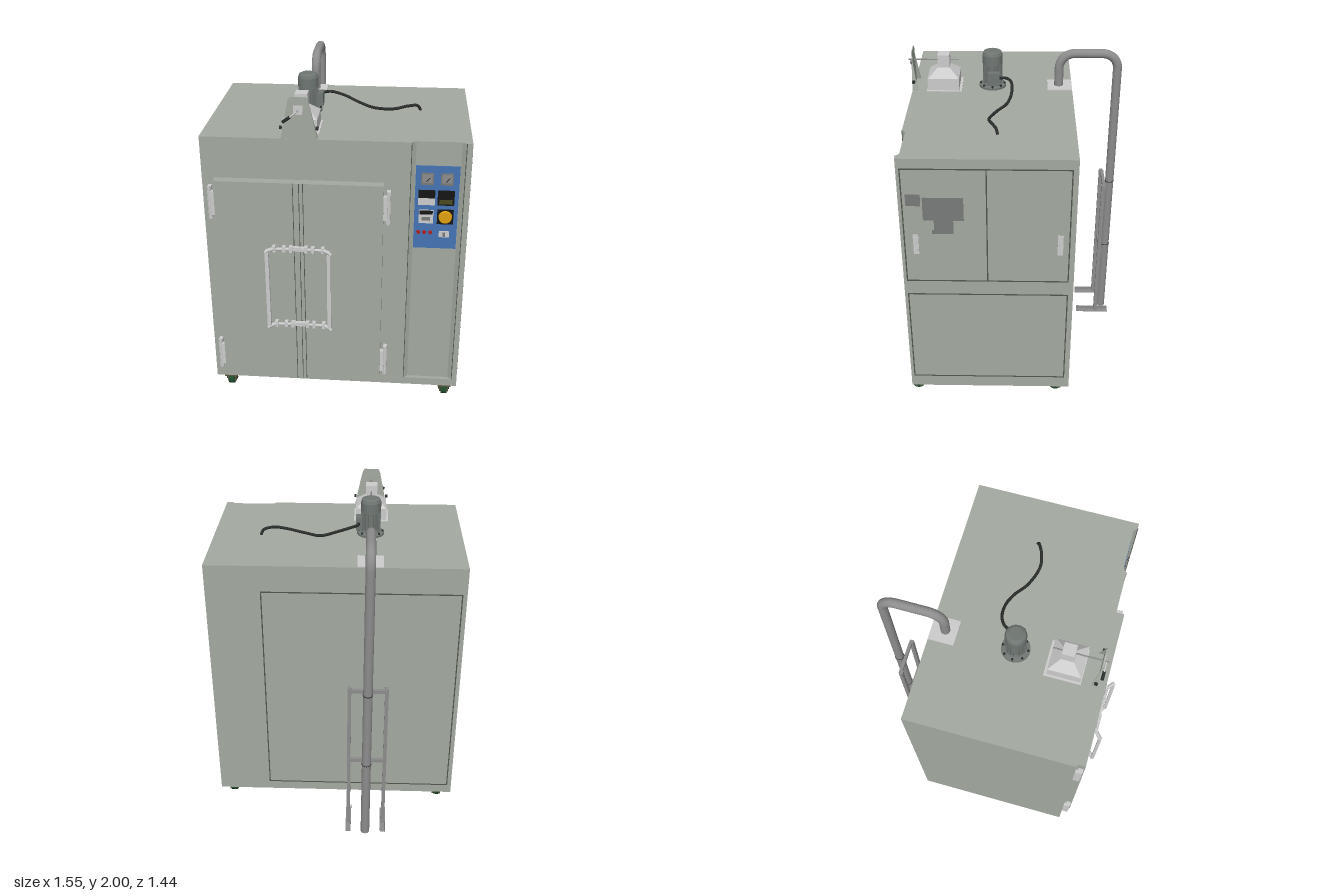
import * as THREE from 'three';

const mat = (color, extra = {}) => new THREE.MeshStandardMaterial({ color, side: THREE.DoubleSide, ...extra });
const M = {
  body: mat(0xa3aaa0), grey: mat(0xcccccc), pipe: mat(0x8c8c8c), seam: mat(0x50544e), mid: mat(0x777a78),
  motor: mat(0x6f7672), dark: mat(0x2b2d2c), blue: mat(0x4474b4), black: mat(0x151515), red: mat(0xb02020),
  yellow: mat(0xe0a010), olive: mat(0x4a4a20), caster: mat(0x5a5a40), green: mat(0x1f4a2c),
};

export function createModel() {
  const root = new THREE.Group();

  const add = (name, geo, m, parent = root) => {
    const mesh = new THREE.Mesh(geo, m);
    mesh.name = name;
    parent.add(mesh);
    return mesh;
  };
  // Box given by its limits on each axis
  const box = (name, x0, x1, y0, y1, z0, z1, m = M.grey, parent = root) => {
    const b = add(name, new THREE.BoxGeometry(x1 - x0, y1 - y0, z1 - z0), m, parent);
    b.position.set((x0 + x1) / 2, (y0 + y1) / 2, (z0 + z1) / 2);
    return b;
  };
  const cyl = (name, r0, r1, h, x, y, z, m, axis = 'y', seg = 24, parent = root) => {
    const c = add(name, new THREE.CylinderGeometry(r1, r0, h, seg), m, parent);
    c.position.set(x, y, z);
    if (axis === 'x') c.rotation.z = Math.PI / 2;
    if (axis === 'z') c.rotation.x = Math.PI / 2;
    return c;
  };
  const rod = (name, a, b, r, m, seg = 10, parent = root) => {
    const p = new THREE.Vector3(...a), q = new THREE.Vector3(...b);
    return add(name, new THREE.TubeGeometry(new THREE.LineCurve3(p, q), 1, r, seg), m, parent);
  };
  // Thin dark outline on a face: u runs along x or z, at is the face position
  const outline = (name, axis, at, u0, u1, v0, v1, t = 0.007) => {
    const g = new THREE.Group();
    g.name = name;
    root.add(g);
    [[u0, u1, v0, v0 + t], [u0, u1, v1 - t, v1], [u0, u0 + t, v0, v1], [u1 - t, u1, v0, v1]].forEach(([a, b, c, d]) => {
      if (axis === 'x') box('seam', at - 0.002, at + 0.002, c, d, a, b, M.seam, g);
      else box('seam', a, b, c, d, at - 0.002, at + 0.002, M.seam, g);
    });
  };

  // Cabinet with a shallow sloped channel for the controls
  const plan = new THREE.Shape([[-0.775, 0.4], [-0.775, -0.6], [0.43, -0.6], [0.455, -0.578], [0.71, -0.578],
    [0.735, -0.6], [0.768, -0.6], [0.768, 0.4]].map(p => new THREE.Vector2(...p)));
  const cabinet = add('cabinet', new THREE.ExtrudeGeometry(plan, { depth: 1.605, bevelEnabled: false }), M.body);
  cabinet.rotation.x = -Math.PI / 2;
  cabinet.position.y = 0.15;
  box('cabinetBase', -0.775, 0.768, 0.1, 0.15, -0.4, 0.6, M.body);
  box('channelEdgeLeft', 0.428, 0.432, 0.15, 1.755, 0.598, 0.602, M.seam);
  box('channelEdgeRight', 0.733, 0.737, 0.15, 1.755, 0.598, 0.603, M.seam);

  // Double door
  box('door', -0.7, 0.28, 0.15, 1.505, 0.6, 0.655, M.body);
  [-0.24, -0.205, -0.182].forEach(x => box('doorSeam', x - 0.002, x + 0.002, 0.15, 1.505, 0.65, 0.656, M.seam));

  // Hinges on both sides of the door
  [[-0.7, -1], [0.28, 1]].forEach(([edge, s]) => [0.2, 1.26].forEach(y => {
    const g = new THREE.Group();
    g.name = 'hinge';
    g.position.set(edge, y, 0);
    root.add(g);
    const span = (a, b, ...r) => box('hingePart', Math.min(s * a, s * b), Math.max(s * a, s * b), ...r, M.grey, g);
    span(0.018, 0.04, 0, 0.2, 0.6, 0.64);
    span(0, 0.04, 0.03, 0.17, 0.618, 0.64);
    span(0, 0.022, 0.025, 0.175, 0.62, 0.648);
    cyl('hingePin', 0.009, 0.009, 0.21, s * 0.03, 0.1, 0.636, M.grey, 'y', 12, g);
  }));

  // Door handles with their latch linkages
  const cx = -0.213;
  [-1, 1].forEach(s => {
    const g = new THREE.Group();
    g.name = 'doorHandle';
    root.add(g);
    box('handleBar', cx + s * 0.183 - 0.011, cx + s * 0.183 + 0.011, 0.575, 1.08, 0.7, 0.72, M.grey, g);
    [0.567, 1.09].forEach(y => {
      rod('latchElbow', [cx + s * 0.192, y, 0.712], [cx + s * 0.15, y, 0.676], 0.012, M.grey, 10, g);
      rod('latchArm', [cx + s * 0.155, y, 0.677], [cx + s * 0.03, y, 0.672], 0.009, M.grey, 10, g);
      [0.045, 0.085, 0.145].forEach(d =>
        box('latchBracket', cx + s * d - 0.01, cx + s * d + 0.01, y - 0.018, y + 0.018, 0.655, 0.685, M.grey, g));
    });
  });
  [0.567, 1.09].forEach(y => box('latchCentre', cx - 0.035, cx + 0.035, y - 0.012, y + 0.012, 0.655, 0.678));

  // Side access panels, pulls and warning plates
  const sx = 0.768;
  outline('upperSidePanel', 'x', sx, -0.37, 0.582, 0.935, 1.695);
  outline('lowerSidePanel', 'x', sx, -0.37, 0.582, 0.18, 0.842);
  box('panelSplit', sx - 0.002, sx + 0.002, 0.935, 1.695, 0.102, 0.109, M.seam);
  [0.513, -0.314].forEach(z => {
    box('sidePull', sx, sx + 0.005, 1.13, 1.265, z - 0.016, z + 0.016);
    box('sidePullGrip', sx, sx + 0.008, 1.145, 1.25, z - 0.005, z + 0.005);
  });
  [[0.475, 0.558, 1.455, 1.53], [0.235, 0.465, 1.36, 1.51], [0.295, 0.405, 1.298, 1.36], [0.295, 0.418, 1.27, 1.297]]
    .forEach(([a, b, c, d]) => box('sidePlate', sx, sx + 0.002, c, d, a, b, M.mid));

  // Rear access panel
  outline('rearPanel', 'z', -0.4, -0.75, 0.44, 0.16, 1.59);

  // Control panel
  const panel = new THREE.Group();
  panel.name = 'controlPanel';
  root.add(panel);
  const ctl = (name, x0, x1, y0, y1, z, m) => box(name, x0, x1, y0, y1, 0.578, z, m, panel);
  ctl('panelFace', 0.457, 0.708, 1.085, 1.61, 0.582, M.blue);
  [0.525, 0.637].forEach(x => {
    ctl('meterFrame', x - 0.036, x + 0.036, 1.493, 1.567, 0.588, M.mid);
    ctl('meterFace', x - 0.028, x + 0.028, 1.508, 1.56, 0.59, M.pipe);
    rod('meterNeedle', [x - 0.005, 1.515, 0.591], [x + 0.015, 1.54, 0.591], 0.002, M.black, 6, panel);
  });
  ctl('display', 0.477, 0.573, 1.412, 1.46, 0.59, M.black);
  ctl('displayKeys', 0.477, 0.573, 1.368, 1.412, 0.59, M.grey);
  ctl('timer', 0.588, 0.684, 1.368, 1.46, 0.59, M.black);
  ctl('timerKeys', 0.598, 0.674, 1.376, 1.405, 0.591, M.olive);
  ctl('controller', 0.484, 0.568, 1.25, 1.335, 0.588, M.grey);
  ctl('controllerScreen', 0.488, 0.564, 1.308, 1.332, 0.59, M.black);
  ctl('controllerKey', 0.502, 0.55, 1.268, 1.29, 0.59, M.mid);
  ctl('stopPlate', 0.59, 0.684, 1.246, 1.34, 0.586, M.black);
  cyl('stopButton', 0.04, 0.036, 0.014, 0.637, 1.293, 0.592, M.yellow, 'z', 24, panel);
  [0.485, 0.52, 0.555].forEach(x => cyl('lamp', 0.012, 0.01, 0.01, x, 1.19, 0.586, M.red, 'z', 16, panel));
  ctl('rockerSwitch', 0.605, 0.665, 1.162, 1.2, 0.588, M.grey);
  ctl('rocker', 0.628, 0.642, 1.168, 1.194, 0.593, M.mid);

  // Casters
  [-0.685, 0.692].forEach(x => [0.562, -0.325].forEach(z => {
    const g = new THREE.Group();
    g.name = 'caster';
    g.position.set(x, 0, z);
    root.add(g);
    box('casterPlate', -0.042, 0.042, 0.092, 0.1, -0.04, 0.04, M.caster, g);
    cyl('casterSwivel', 0.03, 0.034, 0.02, 0, 0.085, 0, M.caster, 'y', 20, g);
    [-0.024, 0.024].forEach(d => box('casterFork', d - 0.004, d + 0.004, 0.045, 0.085, -0.028, 0.028, M.caster, g));
    cyl('casterWheel', 0.037, 0.037, 0.036, 0, 0.06, 0.006, M.green, 'x', 24, g);
    cyl('casterAxle', 0.01, 0.01, 0.07, 0, 0.06, 0.006, M.dark, 'x', 12, g);
  }));

  // Exhaust pipe: up from the roof, over and down behind
  const px = -0.205, V = (y, z) => new THREE.Vector3(px, y, z);
  const path = new THREE.CurvePath();
  path.add(new THREE.LineCurve3(V(1.755, -0.317), V(1.875, -0.317)));
  path.add(new THREE.CubicBezierCurve3(V(1.875, -0.317), V(1.93, -0.317), V(1.972, -0.36), V(1.972, -0.415)));
  path.add(new THREE.LineCurve3(V(1.972, -0.415), V(1.972, -0.585)));
  path.add(new THREE.CubicBezierCurve3(V(1.972, -0.585), V(1.972, -0.64), V(1.93, -0.682), V(1.875, -0.682)));
  path.add(new THREE.LineCurve3(V(1.875, -0.682), V(0, -0.682)));
  add('exhaustPipe', new THREE.TubeGeometry(path, 160, 0.028, 24), M.pipe);
  box('pipeFlange', -0.284, -0.13, 1.755, 1.762, -0.4, -0.246);
  [0.55, 1.063].forEach(y => {
    const collar = add('pipeCollar', new THREE.TorusGeometry(0.028, 0.003, 8, 28), M.dark);
    collar.rotation.x = Math.PI / 2;
    collar.position.set(px, y, -0.682);
    box('pipeStandCrossbar', -0.32, -0.09, y - 0.012, y + 0.012, -0.65, -0.63, M.pipe);
  });
  [-0.318, -0.095].forEach(x => {
    box('pipeStandPost', x - 0.011, x + 0.011, 0.03, 1.083, -0.645, -0.62, M.pipe);
    box('pipeStandFoot', x - 0.017, x + 0.017, 0.027, 0.032, -0.72, -0.497, M.pipe);
    box('pipeStandFootWeb', x - 0.017, x - 0.012, 0.03, 0.055, -0.72, -0.497, M.pipe);
  });

  // Fan motor on the roof
  const mz = 0.1;
  const profile = [[0, 1.755], [0.084, 1.755], [0.084, 1.768], [0.058, 1.774], [0.052, 1.79], [0.052, 1.905], [0.062, 1.907],
    [0.062, 1.965], [0.055, 1.983], [0.04, 1.99], [0, 1.99]].map(p => new THREE.Vector2(...p));
  const motor = add('fanMotor', new THREE.LatheGeometry(profile, 32), mat(0x6f7672, { flatShading: true }));
  motor.position.set(px, 0, mz);
  for (let i = 0; i < 20; i++) {
    const a = (i / 20) * Math.PI * 2;
    const fin = add('motorFin', new THREE.BoxGeometry(0.014, 0.115, 0.004), M.motor);
    fin.position.set(px + Math.cos(a) * 0.054, 1.845, mz + Math.sin(a) * 0.054);
    fin.rotation.y = -a;
  }
  for (let i = 0; i < 8; i++) {
    const a = (i / 8) * Math.PI * 2;
    cyl('motorBolt', 0.007, 0.007, 0.012, px + Math.cos(a) * 0.074, 1.773, mz + Math.sin(a) * 0.074, M.dark, 'y', 6);
  }
  box('terminalBox', -0.15, -0.113, 1.79, 1.87, 0.055, 0.13, M.motor);

  // Motor cable lying across the roof
  const cable = [[-0.13, 1.835, 0.06], [-0.125, 1.84, 0.02], [-0.08, 1.838, -0.015], [0, 1.815, -0.025], [0.1, 1.777, 0],
    [0.2, 1.766, 0.065], [0.32, 1.777, 0.104], [0.4, 1.792, 0.09], [0.46, 1.785, 0.06], [0.477, 1.755, 0.05]];
  add('cable', new THREE.TubeGeometry(new THREE.CatmullRomCurve3(cable.map(p => new THREE.Vector3(...p))), 90, 0.009, 12), M.dark);

  // Vent hood with damper rod
  box('ventFlange', -0.318, -0.098, 1.755, 1.76, 0.29, 0.508);
  box('ventBase', -0.305, -0.11, 1.755, 1.835, 0.307, 0.502);
  const hood = add('ventHood', new THREE.CylinderGeometry(0.037 * Math.SQRT2, 0.0975 * Math.SQRT2, 0.053, 4), mat(0xcccccc, { flatShading: true }));
  hood.rotation.y = Math.PI / 4;
  hood.position.set(-0.2075, 1.861, 0.404);
  box('ventNeck', -0.244, -0.171, 1.88, 1.967, 0.367, 0.441);
  rod('damperRod', [px, 1.926, 0.31], [px, 1.926, 0.625], 0.004, M.pipe);

  // Damper bracket plate with folded sides, dial and lever
  const plate = new THREE.Shape([[-0.308, 1.755], [-0.102, 1.755], [-0.148, 1.98], [-0.16, 2], [-0.25, 2], [-0.262, 1.98]]
    .map(p => new THREE.Vector2(...p)));
  add('damperPlate', new THREE.ExtrudeGeometry(plate, { depth: 0.006, bevelEnabled: false }), M.body).position.z = 0.593;
  [-1, 1].forEach(s => {
    const gusset = new THREE.Shape([[0, 0], [0.03, 0], [0, 0.2]].map(p => new THREE.Vector2(...p)));
    const flap = add('damperGusset', new THREE.ExtrudeGeometry(gusset, { depth: 0.004, bevelEnabled: false }), M.body);
    flap.rotation.set(0, Math.PI / 2, s * 0.2, 'ZYX');
    flap.position.set(px + s * 0.1, 1.757, 0.595);
    cyl('damperKnob', 0.01, 0.01, 0.014, px + s * 0.103, 1.817, 0.588, M.dark, 'x', 12);
  });
  box('damperDial', -0.232, -0.178, 1.9, 1.953, 0.599, 0.603);
  rod('damperLever', [-0.2, 1.928, 0.612], [-0.255, 1.885, 0.614], 0.004, M.grey);
  rod('leverGrip', [-0.25, 1.888, 0.614], [-0.292, 1.858, 0.614], 0.009, M.dark);

  return root;
}
